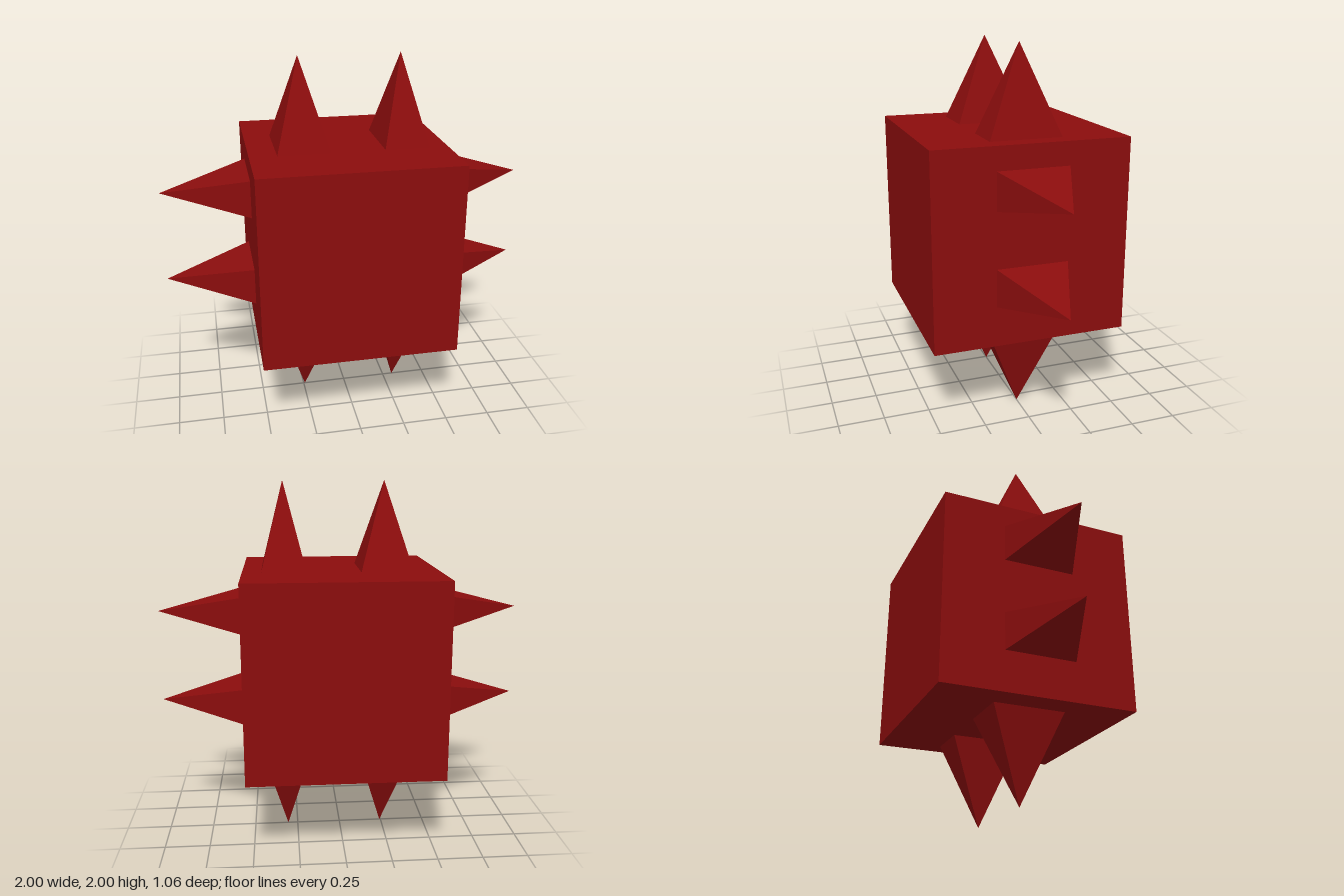
import * as THREE from 'three';

const HALF = 0.528;          // half the cube's edge
const LENGTH = 1 - HALF;     // spike length
const DEPTH = 0.39;          // spike base size along z

export function createModel() {
  const model = new THREE.Group();
  model.name = 'spikedCube';
  const red = new THREE.MeshStandardMaterial({ color: 0x8b0d0d, flatShading: true });

  // Cube body
  const body = new THREE.Mesh(new THREE.BoxGeometry(2 * HALF, 2 * HALF, 2 * HALF), red);
  body.name = 'body';
  body.position.y = 1;
  model.add(body);

  // Four-sided spike with its base on y = 0, pointing up
  function addSpike(name, width, x, y, angle) {
    const geometry = new THREE.ConeGeometry(Math.SQRT1_2, 1, 4, 1, true);
    geometry.rotateY(Math.PI / 4);
    geometry.translate(0, 0.5, 0);
    geometry.scale(width, LENGTH, DEPTH);
    const spike = new THREE.Mesh(geometry, red);
    spike.name = name;
    spike.position.set(x, y, 0);
    spike.rotation.z = angle;
    model.add(spike);
  }

  // Top and bottom pairs: a wider spike on the right, a narrower one on the left
  for (const [side, x, width] of [['Right', -0.243, 0.28], ['Left', 0.306, 0.24]]) {
    addSpike('top' + side + 'Spike', width, x, 1 + HALF, 0);
    addSpike('bottom' + side + 'Spike', width, x, 1 - HALF, Math.PI);
  }

  // Side pairs
  for (const [level, y] of [['upper', 1.3], ['lower', 0.793]]) {
    addSpike(level + 'LeftSpike', 0.204, HALF, y, -Math.PI / 2);
    addSpike(level + 'RightSpike', 0.204, -HALF, y, Math.PI / 2);
  }

  return model;
}
